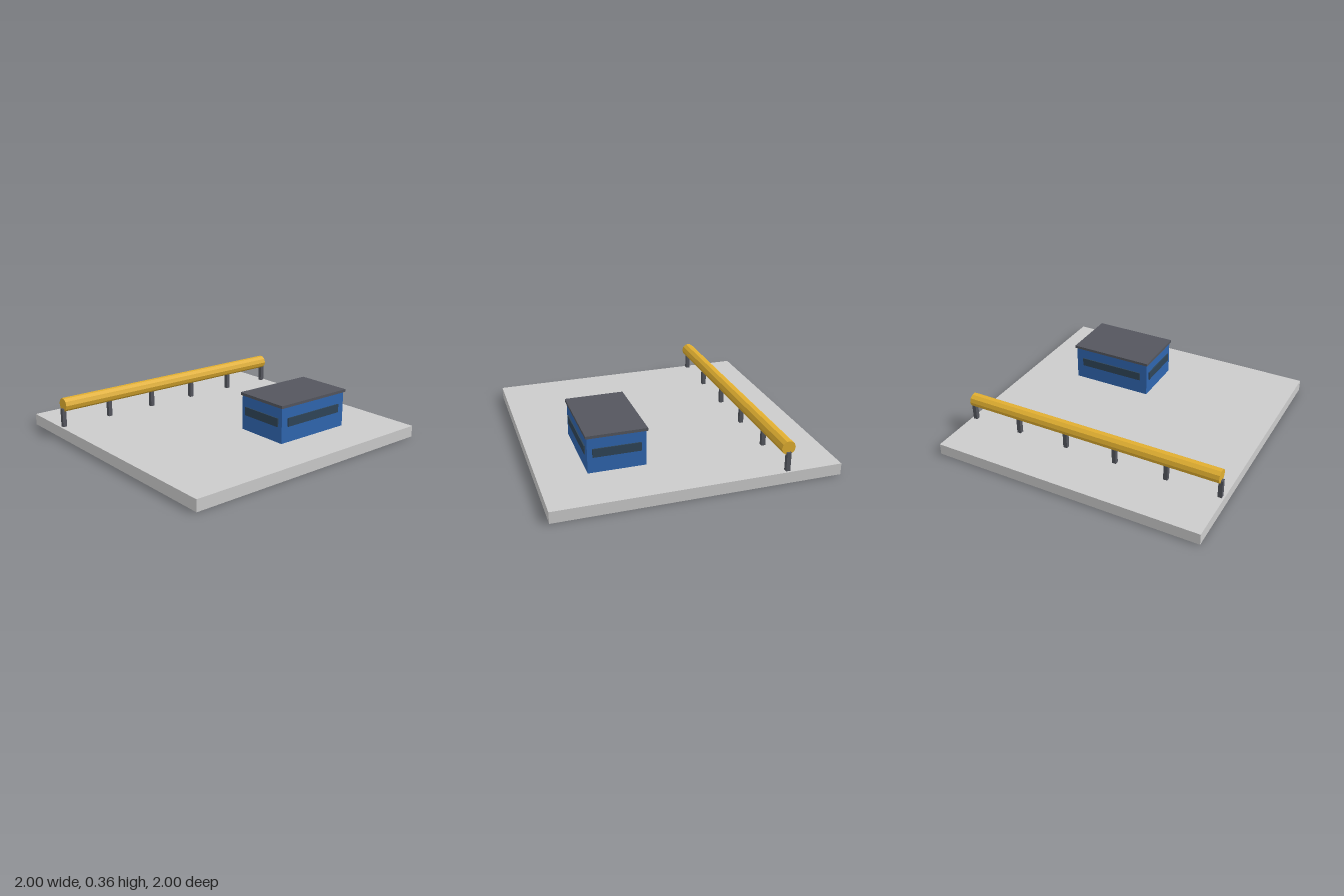
import * as THREE from 'three';

const material = (color) => new THREE.MeshStandardMaterial({ color, flatShading: true });

export function createModel() {
  const model = new THREE.Group();
  const concrete = material(0xcccccc);
  const blue = material(0x2f66b0);
  const darkGrey = material(0x54565e);
  const glass = material(0x2f4558);
  const yellow = material(0xe0ae30);

  const box = (parent, name, mat, size, pos) => {
    const mesh = new THREE.Mesh(new THREE.BoxGeometry(...size), mat);
    mesh.name = name;
    mesh.position.set(...pos);
    parent.add(mesh);
  };

  // Ground slab
  const slabTop = 0.083;
  box(model, 'groundSlab', concrete, [2, slabTop, 2], [0, slabTop / 2, 0]);

  // Control building with overhanging roof
  const building = new THREE.Group();
  building.name = 'building';
  building.position.set(0.305, slabTop, 0.46);
  model.add(building);
  const w = 0.61, h = 0.257, d = 0.406;
  box(building, 'walls', blue, [w, h, d], [0, h / 2, 0]);
  box(building, 'roof', darkGrey, [w + 0.02, 0.02, d + 0.02], [0, h + 0.01, 0]);

  // Window strips standing slightly proud of all four walls
  for (const side of [-1, 1]) {
    box(building, 'longWindow', glass, [0.5, 0.062, 0.016], [0, 0.146, side * d / 2]);
    box(building, 'endWindow', glass, [0.016, 0.062, 0.336], [side * w / 2, 0.146, 0]);
  }

  // Pipeline carried on a row of posts
  const pipeline = new THREE.Group();
  pipeline.name = 'pipeline';
  pipeline.position.z = -0.61;
  model.add(pipeline);
  const pipe = new THREE.Mesh(new THREE.CylinderGeometry(0.05, 0.05, 1.94, 10), yellow);
  pipe.name = 'pipe';
  pipe.rotation.z = Math.PI / 2;
  pipe.position.y = 0.248;
  pipeline.add(pipe);

  const posts = 6, postHeight = 0.136;
  for (let i = 0; i < posts; i++) {
    const x = -0.97 + (1.94 * i) / (posts - 1);
    box(pipeline, 'pipePost', darkGrey, [0.03, postHeight, 0.03], [x, slabTop + postHeight / 2, 0]);
  }

  return model;
}
